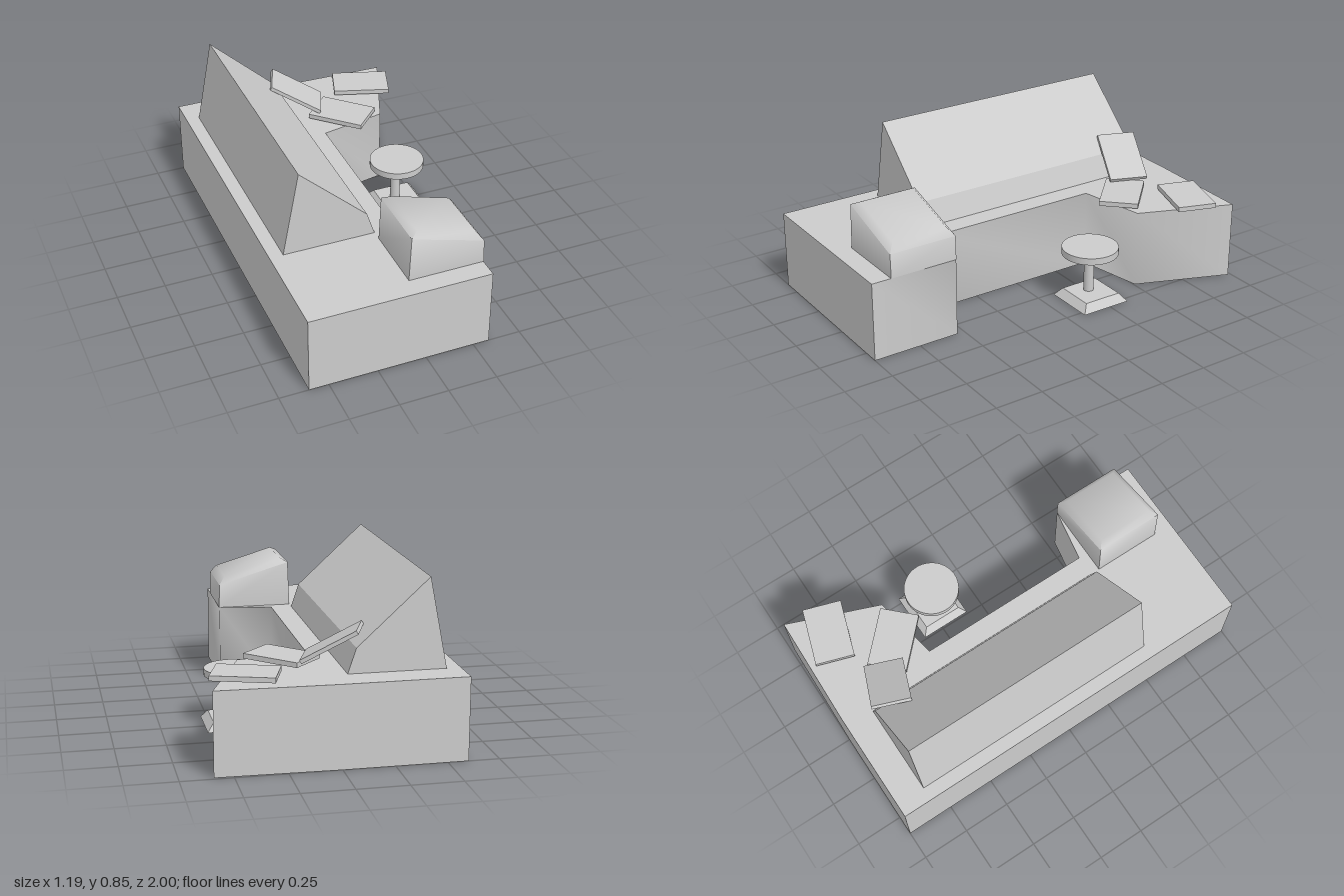
import * as THREE from 'three';
import { toCreasedNormals } from 'three/addons/utils/BufferGeometryUtils.js';

const material = new THREE.MeshStandardMaterial({ color: 0xcccccc });
const DESK_TOP = 0.408;

function addMesh(parent, name, geometry, x = 0, y = 0, z = 0) {
  const mesh = new THREE.Mesh(geometry, material);
  mesh.name = name;
  mesh.position.set(x, y, z);
  parent.add(mesh);
  return mesh;
}

function extrude(points, depth) {
  const shape = new THREE.Shape(points.map(([x, y]) => new THREE.Vector2(x, y)));
  return new THREE.ExtrudeGeometry(shape, { depth, bevelEnabled: false });
}

// Floor plan given as x, z and extruded down to the ground
function deskGeometry() {
  const plan = [
    [-0.6, 1], [0.333, 1], [0.333, 0.54], [0.055, 0.49], [0.055, -0.438],
    [0.405, -0.507], [0.592, -0.985], [0, -1], [-0.6, -1],
  ];
  const geometry = extrude(plan, DESK_TOP);
  geometry.rotateX(Math.PI / 2).translate(0, DESK_TOP, 0);
  return toCreasedNormals(geometry, THREE.MathUtils.degToRad(85));
}

// Box whose three levels become the base, the shoulder and the sloping top
function podGeometry() {
  const levels = [
    { x: [-0.055, 0.335], y: [DESK_TOP, DESK_TOP], z: [0.54, 0.897] },
    { x: [-0.046, 0.331], y: [0.645, 0.532], z: [0.54, 0.897] },
    { x: [-0.006, 0.3], y: [0.665, 0.574], z: [0.572, 0.865] },
  ];
  const geometry = new THREE.BoxGeometry(1, 1, 1, 1, 2, 1);
  const pos = geometry.attributes.position;
  for (let i = 0; i < pos.count; i++) {
    const level = levels[Math.round((pos.getY(i) + 0.5) * 2)];
    const side = pos.getX(i) > 0 ? 1 : 0;
    pos.setXYZ(i, level.x[side], level.y[side], level.z[pos.getZ(i) > 0 ? 1 : 0]);
  }
  return toCreasedNormals(geometry, THREE.MathUtils.degToRad(62));
}

function createStool() {
  const stool = new THREE.Group();
  stool.name = 'stool';
  const base = new THREE.CylinderGeometry(0.102 * Math.SQRT2, 0.135 * Math.SQRT2, 0.042, 4);
  base.rotateY(Math.PI / 4);
  addMesh(stool, 'stoolBase', toCreasedNormals(base, 0.5), 0.395, 0.021, -0.225);
  addMesh(stool, 'stoolPost', new THREE.CylinderGeometry(0.026, 0.026, 0.22, 24), 0.376, 0.148, -0.225);
  addMesh(stool, 'stoolSeat', new THREE.CylinderGeometry(0.145, 0.145, 0.036, 48), 0.382, 0.272, -0.225);
  return stool;
}

export function createModel() {
  const model = new THREE.Group();
  model.name = 'controlDesk';

  addMesh(model, 'desk', deskGeometry());

  // Long sloping console along the back edge
  const profile = [[-0.53, DESK_TOP], [-0.055, DESK_TOP], [-0.096, 0.53], [-0.444, 0.85]];
  addMesh(model, 'slopingConsole', extrude(profile, 1.337), 0, 0, -0.847);

  addMesh(model, 'monitorPod', podGeometry());

  // Two flat pads and one tilted panel
  const pad = new THREE.BoxGeometry(0.305, 0.025, 0.202);
  addMesh(model, 'outerPad', pad, 0.416, 0.432, -0.819).rotation.y = -0.316;
  addMesh(model, 'innerPad', pad, 0.2, 0.432, -0.563).rotation.y = -0.775;
  const panel = new THREE.BoxGeometry(0.305, 0.02, 0.202);
  addMesh(model, 'tiltedPanel', panel, -0.008, 0.53, -0.72).rotation.set(0, -0.36, -0.523);

  model.add(createStool());
  return model;
}
